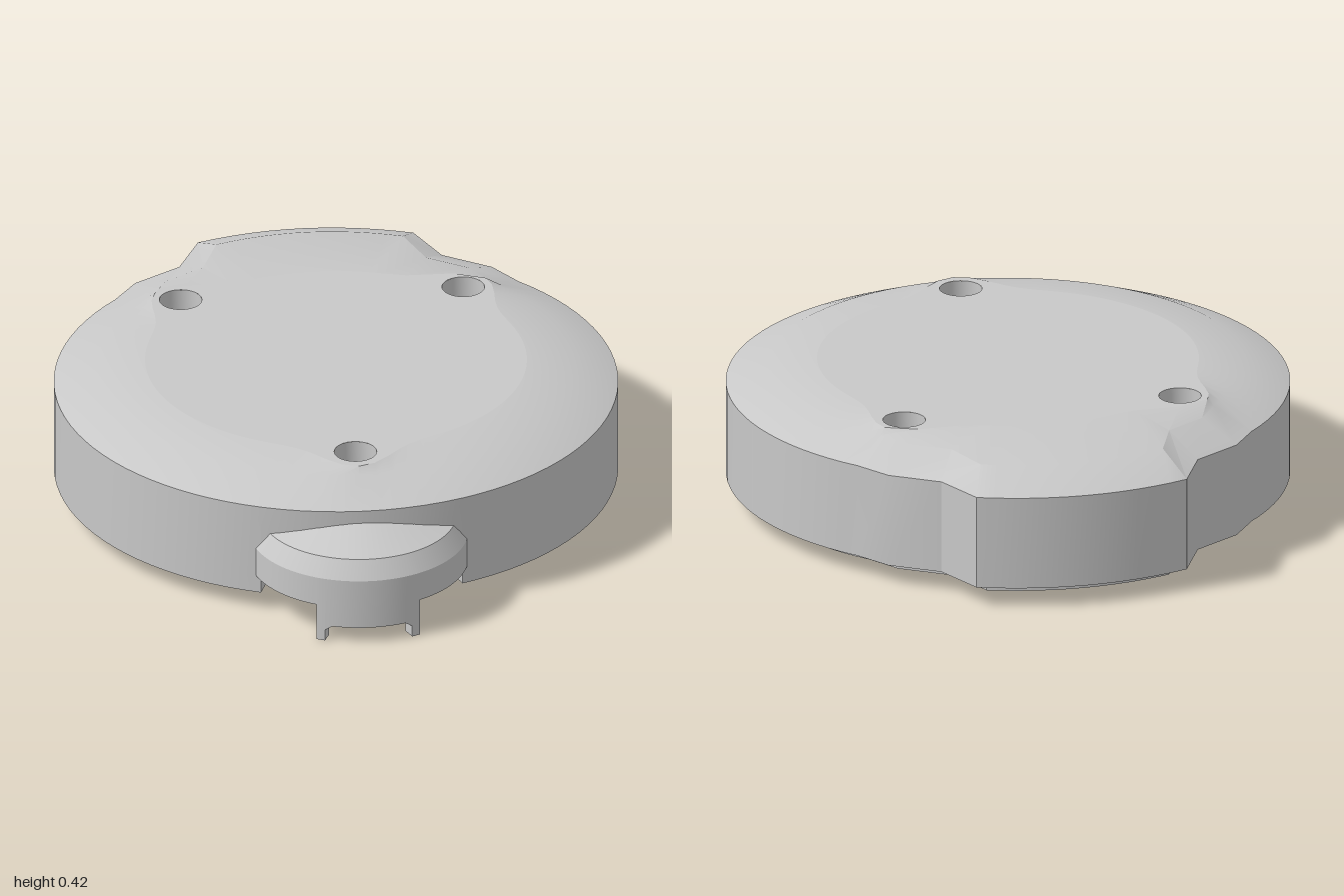
import * as THREE from 'three';
import { toCreasedNormals } from 'three/addons/utils/BufferGeometryUtils.js';

const CZ = -0.02, R = 0.835;           // centre and radius of the round body
const NOTCH = 0.367;                   // half angle of the gap in the front wall
const HOLES = [[0, 0.57], [0.42, -0.445], [-0.42, -0.445]];

// Skin between rows of points; rows run downwards, points run towards +x at the front
function skin(rows, closed) {
  const n = rows[0].length, pos = rows.flat(2), index = [];
  for (let j = 0; j < rows.length - 1; j++) {
    for (let i = 0; i < (closed ? n : n - 1); i++) {
      const k = (i + 1) % n, a = j * n + i, b = j * n + k, c = a + n, d = b + n;
      index.push(a, c, b, b, c, d);
    }
  }
  const g = new THREE.BufferGeometry();
  g.setAttribute('position', new THREE.Float32BufferAttribute(pos, 3));
  g.setIndex(index);
  return toCreasedNormals(g, 0.42);
}

// Flat sheet facing up (s = -1) or down (s = 1) with the screw holes cut out
function sheet(points, y, s) {
  const shape = new THREE.Shape(points.map(([x, z]) => new THREE.Vector2(x, s * z)));
  for (const [x, z] of HOLES) {
    shape.holes.push(new THREE.Path().absarc(x, s * z, 0.063, 0, Math.PI * 2));
  }
  return new THREE.ShapeGeometry(shape, 24).rotateX(s * Math.PI / 2).translate(0, y, 0);
}

// Plan outline: round body with a stepped bulge at the back
function makeOutline() {
  const pts = [];
  const arc = (from, to, n) => {
    for (let i = 0; i < n; i++) {
      const a = from + (to - from) * i / n;
      pts.push([R * Math.sin(a), CZ + R * Math.cos(a)]);
    }
  };
  arc(0, NOTCH, 5);
  arc(NOTCH, 2.34, 31);
  pts.push([0.6, -0.6], [0.53, -0.7], [0.39, -0.79]);
  for (let i = -6; i <= 6; i++) pts.push([-0.32 * i / 6, -1 + 0.06 * (i / 6) ** 2]);
  pts.push([-0.39, -0.79], [-0.53, -0.7]);
  arc(-2.34, -NOTCH, 31);
  arc(-NOTCH, 0, 5);
  return pts;
}

// Even inward offset of the outline
function inset(pts, d) {
  const n = pts.length;
  const normal = (a, b) => new THREE.Vector2(b[1] - a[1], a[0] - b[0]).normalize();
  return pts.map((p, i) => {
    const n1 = normal(pts[(i + n - 1) % n], p), n2 = normal(p, pts[(i + 1) % n]);
    const m = n1.clone().add(n2).normalize();
    const k = d / m.dot(n1);
    return [p[0] + m.x * k, p[1] + m.y * k];
  });
}

export function createModel() {
  const group = new THREE.Group();
  const grey = new THREE.MeshStandardMaterial({ color: 0xc8c8c8 });
  grey.name = 'grey plastic';
  const add = (name, geometry) => {
    const mesh = new THREE.Mesh(geometry, grey);
    mesh.name = name;
    group.add(mesh);
    return mesh;
  };

  const outline = makeOutline(), inner = inset(outline, 0.06);

  // Wall columns; the notch edges are doubled so the rim steps up between them
  const columns = outline.flatMap((p, i) => {
    const a = Math.atan2(p[0], p[1] - CZ), edge = Math.abs(Math.abs(a) - NOTCH) < 1e-4;
    const levels = edge ? (a > 0 ? [0.205, 0.06] : [0.06, 0.205])
      : [Math.abs(a) < NOTCH ? 0.205 : 0.06];
    return levels.map(y => ({ p, q: inner[i], y, a, r: Math.hypot(p[0], p[1] - CZ) }));
  });
  const polar = (a, r) => [r * Math.sin(a), CZ + r * Math.cos(a)];

  // The flat top widens around each screw hole
  const plateau = columns.map(({ a }) => {
    let r = 0.565;
    for (const [x, z] of HOLES) {
      const d = Math.abs(a - Math.atan2(x, z - CZ));
      r += 0.12 * Math.exp(-((Math.min(d, 2 * Math.PI - d) / 0.2) ** 2));
    }
    return polar(a, r);
  });
  const at = ([x, z], y) => [x, y, z];
  add('shell', skin([
    plateau.map(p => at(p, 0.417)),
    columns.map(c => at(polar(c.a, c.r - 0.13), 0.4)),
    columns.map(c => at(c.p, 0.345)),
    columns.map(c => at(c.p, c.y)),
    columns.map(c => at(c.q, c.y)),
    columns.map(c => at(c.q, 0.335)),
    plateau.map(p => at(p, 0.367)),
  ], true));
  add('topPanel', sheet(plateau, 0.417, -1));
  add('innerCeiling', sheet(plateau, 0.367, 1));

  // Screw posts with counterbored holes, each braced by a rib to the wall
  const profile = [[0.063, 0.417], [0.063, 0.25], [0.037, 0.25], [0.037, 0.132],
    [0.087, 0.132], [0.087, 0.37]].map(p => new THREE.Vector2(...p));
  for (const [x, z] of HOLES) {
    add('screwPost', toCreasedNormals(new THREE.LatheGeometry(profile, 32), 0.5))
      .position.set(x, 0, z);
    const a = Math.atan2(x, z - CZ), [rx, rz] = polar(a, 0.73);
    const rib = add('postRib', new THREE.BoxGeometry(0.1, 0.15, 0.14));
    rib.position.set(rx, 0.27, rz);
    rib.rotation.y = a;
  }

  // Locating lip along the back of the rim
  const back = outline.map((p, i) => i).filter(i => outline[i][1] < -0.46);
  const lipOuter = inset(outline, 0.058), lipInner = inset(outline, 0.088);
  const lipPath = [...back.map(i => lipOuter[i]), ...back.reverse().map(i => lipInner[i])];
  const lip = new THREE.ExtrudeGeometry(
    new THREE.Shape(lipPath.map(([x, z]) => new THREE.Vector2(x, -z))),
    { depth: 0.1, bevelEnabled: false });
  add('rimLip', lip.rotateX(-Math.PI / 2).translate(0, 0.03, 0));

  // Front tab: hollow rounded hood with a skirt and two small feet
  const TZ = 0.67, FOOT_IN = 0.41, FOOT_OUT = 0.492, END = 1.4;
  const stops = [-END, -FOOT_OUT, -FOOT_IN, FOOT_IN, FOOT_OUT, END];
  const bottoms = [0.115, 0, 0.05, 0, 0.115], steps = [14, 3, 12, 3, 14];
  const tab = [];
  bottoms.forEach((y, s) => {
    for (let i = 0; i <= steps[s]; i++) {
      const t = i / steps[s];
      // small fillets where the skirt meets the feet
      const fillet = s === 2 && (i === 0 || i === steps[s]) ? 0.015 : 0;
      tab.push({ a: stops[s] + (stops[s + 1] - stops[s]) * t, y: y - fillet });
    }
  });
  const ring = (r, y) => tab.map(t =>
    [r * Math.sin(t.a), y ?? t.y, TZ + r * Math.cos(t.a)]);
  // Ends of the hood, buried in the body wall
  const buried = (r, height) => ring(r, 0).map(([x, , z]) => {
    const zz = Math.min(CZ + Math.sqrt(0.64 - x * x), z - 0.001);
    return [x, height(Math.hypot(x, zz - TZ)), zz];
  });
  add('frontTab', skin([
    buried(0.29, d => 0.26 + 0.31 * (0.29 - d)),
    ring(0.29, 0.26),
    ring(0.325, 0.205),
    ring(0.325),
    ring(0.285),
    ring(0.285, 0.2),
    buried(0.285, () => 0.2),
  ], false));

  return group;
}
